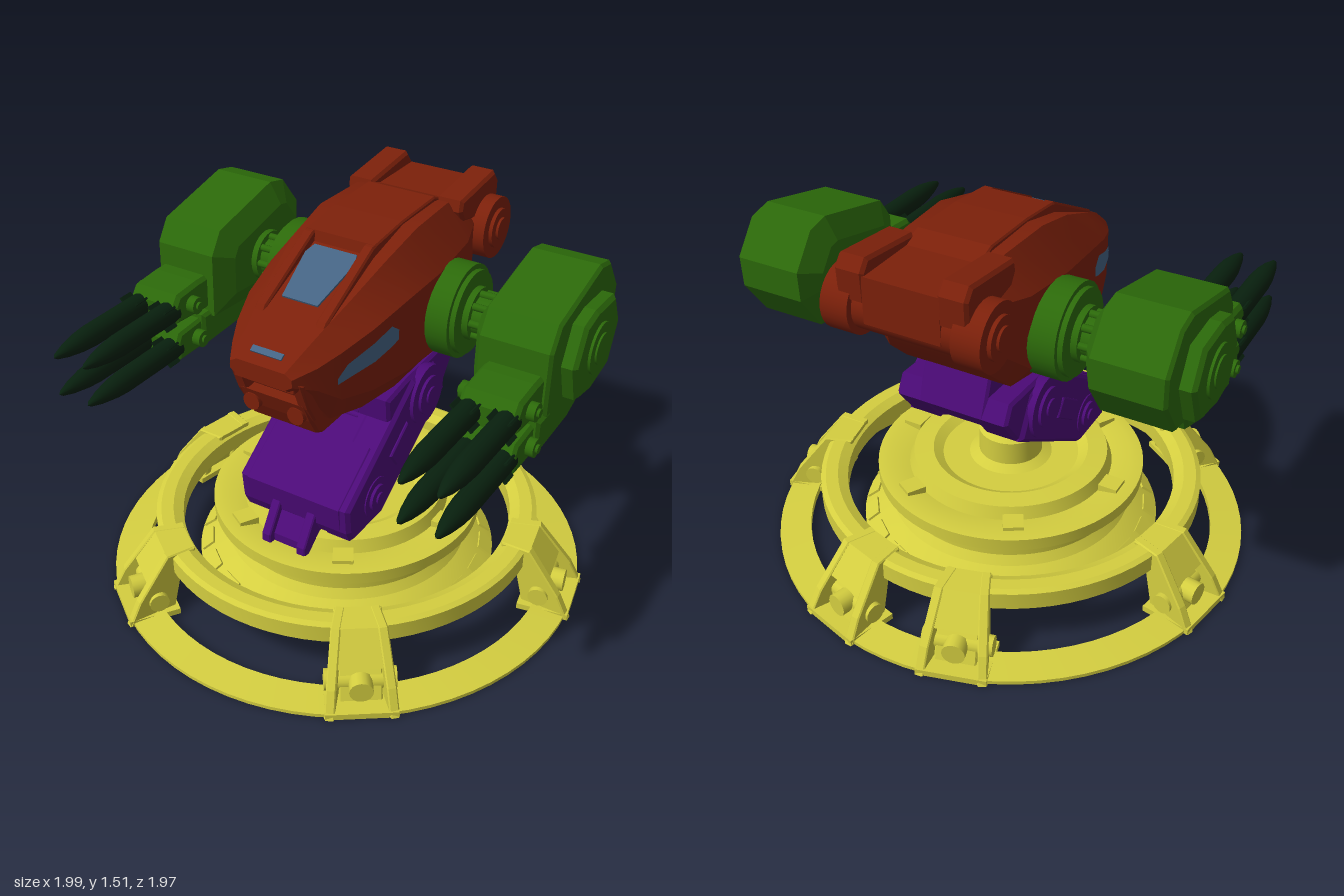
import * as THREE from 'three';
import { toCreasedNormals } from 'three/addons/utils/BufferGeometryUtils.js';

const material = (name, color, side = THREE.FrontSide) => {
  const m = new THREE.MeshStandardMaterial({ color, side });
  m.name = name;
  return m;
};

// Box given by its min and max on each axis
const box = (x0, x1, y0, y1, z0, z1) =>
  new THREE.BoxGeometry(x1 - x0, y1 - y0, z1 - z0).translate((x0 + x1) / 2, (y0 + y1) / 2, (z0 + z1) / 2);

// Cylinder lying along x
const cylX = (r, x0, x1, y, z, seg = 28) =>
  new THREE.CylinderGeometry(r, r, x1 - x0, seg).rotateZ(Math.PI / 2).translate((x0 + x1) / 2, y, z);

// Outline in [z, y], extruded from x0 to x1 with chamfered edges
function slab(pts, x0, x1, t = 0.01, s = t) {
  const shape = new THREE.Shape(pts.map(([z, y]) => new THREE.Vector2(z, y)));
  return new THREE.ExtrudeGeometry(shape, {
    depth: x1 - x0 - 2 * t, bevelThickness: t, bevelSize: s, bevelOffset: -s, bevelSegments: 1,
  }).rotateY(-Math.PI / 2).translate(x1 - t, 0, 0);
}

// Mirror a geometry in x, keeping its faces outward
function mirrored(geo) {
  const g = geo.index ? geo.toNonIndexed() : geo.clone();
  g.scale(-1, 1, 1);
  for (const a of Object.values(g.attributes)) {
    const n = a.itemSize;
    for (let i = 0; i < a.count; i += 3) {
      for (let k = 0; k < n; k++) {
        const p = (i + 1) * n + k, q = (i + 2) * n + k;
        [a.array[p], a.array[q]] = [a.array[q], a.array[p]];
      }
    }
  }
  return g;
}

const lathe = (pts) => toCreasedNormals(
  new THREE.LatheGeometry(pts.map(([r, y]) => new THREE.Vector2(r, y)), 72), 0.4);

// Hull stations: z, top, topHalf, shoulder, half, low, bottom, bottomHalf
const STATIONS = [
  [-0.62, 1.38, 0.15, 1.34, 0.22, 1.27, 1.20, 0.15],
  [-0.53, 1.45, 0.18, 1.36, 0.26, 1.16, 1.07, 0.20],
  [-0.40, 1.475, 0.20, 1.34, 0.30, 1.05, 0.95, 0.22],
  [-0.15, 1.475, 0.21, 1.32, 0.315, 1.00, 0.925, 0.25],
  [0.06, 1.425, 0.20, 1.30, 0.30, 1.00, 0.92, 0.25],
  [0.25, 1.345, 0.17, 1.26, 0.268, 1.01, 0.92, 0.22],
  [0.39, 1.286, 0.145, 1.22, 0.222, 1.03, 0.93, 0.17],
  [0.48, 1.24, 0.125, 1.19, 0.18, 1.10, 1.06, 0.14],
  [0.565, 1.187, 0.10, 1.17, 0.13, 1.14, 1.12, 0.10],
];

function hullGeometry() {
  const pos = [], idx = [], n = 8, last = STATIONS.length - 1;
  for (const [z, top, wt, ys, w, yl, bot, wb] of STATIONS) {
    const half = [[wb, bot], [w, yl], [w, ys], [wt, top]];
    for (const [x, y] of half) pos.push(x, y, z);
    for (const [x, y] of half.reverse()) pos.push(-x, y, z);
  }
  for (let i = 0; i < last; i++) for (let j = 0; j < n; j++) {
    const a = i * n + j, b = i * n + (j + 1) % n;
    idx.push(a, b, b + n, a, b + n, a + n);
  }
  for (let j = 1; j < n - 1; j++) idx.push(0, j + 1, j, last * n, last * n + j, last * n + j + 1);
  const g = new THREE.BufferGeometry();
  g.setAttribute('position', new THREE.Float32BufferAttribute(pos, 3));
  g.setIndex(idx);
  return toCreasedNormals(g, 0.35);
}

const hullHalf = (z) => {
  const i = STATIONS.findIndex((s) => s[0] >= z), a = STATIONS[i - 1], b = STATIONS[i];
  return a[4] + (b[4] - a[4]) * (z - a[0]) / (b[0] - a[0]);
};

// Side window following the cheek; rows are z, lower y, upper y
function sideWindow() {
  const rows = [[0.12, 1.165, 1.205], [0.16, 1.15, 1.235], [0.25, 1.13, 1.208], [0.37, 1.11, 1.168], [0.41, 1.1, 1.125]];
  const pos = [], idx = [];
  rows.forEach(([z, a, b], i) => {
    const x = hullHalf(z) + 0.006;
    pos.push(x, a, z, x, b, z);
    if (i) idx.push(2 * i - 2, 2 * i - 1, 2 * i + 1, 2 * i - 2, 2 * i + 1, 2 * i);
  });
  const g = new THREE.BufferGeometry();
  g.setAttribute('position', new THREE.Float32BufferAttribute(pos, 3));
  g.setIndex(idx);
  g.computeVertexNormals();
  return g;
}

export function createModel() {
  const yellow = material('base yellow', 0xd4ce40, THREE.DoubleSide);
  const purple = material('leg purple', 0x4c0a78);
  const red = material('hull red', 0x7c200a);
  const green = material('arm green', 0x2c6a0a);
  const dark = material('missile dark green', 0x08200e);
  const glass = material('window blue', 0x456484, THREE.DoubleSide);
  const model = new THREE.Group();
  const group = (name) => {
    const g = new THREE.Group();
    g.name = name;
    model.add(g);
    return g;
  };
  const add = (parent, name, geo, mat) => {
    const m = new THREE.Mesh(geo, mat);
    m.name = name;
    parent.add(m);
  };
  const pair = (parent, name, geo, mat) => {
    add(parent, name + 'Left', geo, mat);
    add(parent, name + 'Right', mirrored(geo), mat);
  };

  // Round base: ground ring, raised ring, flared bowl with stepped deck and post
  const base = group('base');
  add(base, 'groundRing', lathe([[0.85, 0], [0.98, 0], [0.98, 0.015], [0.85, 0.03], [0.85, 0]]), yellow);
  add(base, 'raisedRing', lathe([[0.68, 0.18], [0.77, 0.175], [0.79, 0.19], [0.79, 0.26], [0.77, 0.27], [0.72, 0.27], [0.68, 0.25], [0.68, 0.18]]), yellow);
  add(base, 'bowl', lathe([[0.54, 0.03], [0.62, 0.03], [0.62, 0.05], [0.55, 0.105], [0.5, 0.135], [0.475, 0.17], [0.475, 0.22], [0.55, 0.26],
    [0.55, 0.31], [0.5, 0.315], [0.42, 0.3], [0.4, 0.35], [0.32, 0.355], [0.28, 0.33], [0.17, 0.33],
    [0.13, 0.35], [0.13, 0.45], [0.1, 0.47], [0.001, 0.47]]), yellow);
  for (let i = 0; i < 24; i++) {
    add(base, 'bowlPanel', box(-0.05, 0.05, -0.01, 0.006, -0.03, 0.03).rotateX(0.67).translate(0, 0.08, 0.585).rotateY((i + 0.5) * Math.PI / 12), yellow);
  }
  for (let i = 0; i < 6; i++) {
    add(base, 'deckBolt', box(-0.04, 0.04, 0.29, 0.33, 0.42, 0.5).rotateY(Math.PI / 6 + i * Math.PI / 3), yellow);
  }
  // Six sloping struts, wider at the foot, with a recessed bolt
  const cheek = [[0.995, 0], [0.945, 0.1], [0.81, 0.275], [0.69, 0.275], [0.69, 0.2], [0.76, 0.16], [0.8, 0]];
  const core = [[0.93, 0], [0.89, 0.1], [0.79, 0.24], [0.7, 0.25], [0.72, 0.19], [0.78, 0.15], [0.83, 0]];
  for (const deg of [35, 101, 164, -35, -101, -164]) {
    const strut = new THREE.Group();
    strut.name = 'strut';
    strut.rotation.y = deg * Math.PI / 180;
    pair(strut, 'strutCheek', slab(cheek, -0.078, -0.04, 0.005).rotateY(0.18), yellow);
    add(strut, 'strutCore', slab(core, -0.08, 0.08, 0.005), yellow);
    add(strut, 'strutTop', slab([[0.893, 0.155], [0.806, 0.273], [0.69, 0.273], [0.69, 0.2], [0.8, 0.15]], -0.09, 0.09, 0.004), yellow);
    add(strut, 'strutFoot', box(-0.135, 0.135, 0, 0.025, 0.78, 0.985), yellow);
    add(strut, 'strutBolt', new THREE.CylinderGeometry(0.045, 0.045, 0.06, 16).rotateX(Math.PI / 2).translate(0, 0.085, 0.91), yellow);
    add(strut, 'sideBolt', cylX(0.04, -0.135, 0.135, 0.08, 0.86, 16), yellow);
    base.add(strut);
  }

  // Folded leg
  const leg = group('leg');
  pair(leg, 'legArm', slab([[0.395, 0.53], [0.07, 0.745], [-0.1, 0.86], [-0.28, 0.85], [-0.37, 0.69], [0.14, 0.365], [0.36, 0.37], [0.385, 0.42]], 0.12, 0.25, 0.015), purple);
  add(leg, 'legCore', slab([[0.37, 0.5], [0.1, 0.68], [-0.1, 0.8], [-0.33, 0.8], [-0.34, 0.7], [0.14, 0.4], [0.34, 0.39]], -0.13, 0.13), purple);
  add(leg, 'shinPlate', slab([[0.4, 0.53], [0.17, 0.685], [0.12, 0.62], [0.2, 0.38], [0.36, 0.375], [0.385, 0.42]], -0.22, 0.22, 0.012), purple);
  pair(leg, 'upperBracket', slab([[0.08, 0.85], [-0.07, 0.87], [-0.42, 0.885], [-0.46, 0.81], [-0.37, 0.69], [-0.05, 0.68], [0.07, 0.75]], 0.09, 0.235, 0.012), purple);
  add(leg, 'neck', slab([[-0.02, 0.72], [-0.02, 0.88], [-0.12, 0.96], [-0.4, 0.97], [-0.46, 0.81], [-0.38, 0.72]], -0.14, 0.14), purple);
  for (let i = 0; i < 6; i++) add(leg, 'kneeRib', box(-0.08, 0.08, 0.7 + i * 0.027, 0.715 + i * 0.027, -0.1, 0.05 - i * 0.01), purple);
  const joints = [[0.75, -0.19, 0.125, 0.265], [0.48, 0.19, 0.085, 0.255]];
  for (const [y, z, r, x] of joints) {
    pair(leg, 'jointDisc', cylX(r, 0.2, x, y, z, 24), purple);
    pair(leg, 'jointRim', cylX(r * 0.65, 0.2, x + 0.012, y, z, 24), purple);
    pair(leg, 'jointBolt', cylX(r * 0.3, 0.2, x + 0.02, y, z, 12), purple);
  }
  pair(leg, 'armPanel', slab([[0.09, 0.61], [-0.04, 0.7], [-0.09, 0.63], [0.04, 0.54]], 0.24, 0.26, 0.005), purple);
  pair(leg, 'footPlate', slab([[0.47, 0.28], [0.47, 0.345], [0.385, 0.47], [0.3, 0.47], [0.3, 0.36], [0.36, 0.36]], 0.06, 0.1, 0.005), purple);
  add(leg, 'footBar', slab([[0.44, 0.29], [0.44, 0.34], [0.37, 0.44], [0.3, 0.44], [0.36, 0.34]], -0.07, 0.07, 0.004), purple);

  // Hull with mouth, chin and windows
  const hull = group('hull');
  add(hull, 'hullShell', hullGeometry(), red);
  add(hull, 'spinePlate', slab([[0.055, 1.42], [0.045, 1.468], [-0.15, 1.487], [-0.4, 1.492], [-0.48, 1.46]], -0.15, 0.15, 0.006), red);
  pair(hull, 'canopyFrame', slab([[-0.06, 1.42], [-0.06, 1.478], [0.06, 1.465], [0.37, 1.305], [0.41, 1.26], [0.25, 1.32]], 0.106, 0.15, 0.006, 0.008), red);
  pair(hull, 'mouthSide', slab([[0.545, 1.14], [0.5, 1.02], [0.46, 0.95], [0.34, 0.95], [0.34, 1.14]], 0.105, 0.155, 0.008), red);
  add(hull, 'mouthTop', box(-0.125, 0.125, 1.105, 1.13, 0.4, 0.55), red);
  add(hull, 'jaw', slab([[0.505, 1.03], [0.47, 0.95], [0.43, 0.88], [0.39, 0.86], [0.26, 0.86], [0.24, 1.0], [0.4, 1.04]], -0.145, 0.145, 0.01), red);
  pair(hull, 'chinLamp', new THREE.CylinderGeometry(0.035, 0.035, 0.08, 16).rotateX(Math.PI / 2).translate(0.095, 0.975, 0.46), red);
  const pane = new THREE.Shape([[-0.075, -0.135], [0.075, -0.135], [0.105, 0.08], [0.09, 0.125], [-0.09, 0.125], [-0.105, 0.08]].map(([x, y]) => new THREE.Vector2(x, y)));
  const canopy = new THREE.ExtrudeGeometry(pane, { depth: 0.008, bevelEnabled: false });
  canopy.rotateX(-Math.PI / 2 + Math.atan(0.421)).translate(0, 1.373, 0.188);
  add(hull, 'canopyWindow', canopy, glass);
  add(hull, 'noseSlit', new THREE.BoxGeometry(0.13, 0.009, 0.025).rotateX(0.56).translate(0, 1.218, 0.52), glass);
  pair(hull, 'sideWindow', sideWindow(), glass);

  // Rear engine drum and its two rails
  add(hull, 'engineDrum', cylX(0.1, -0.27, 0.27, 1.31, -0.64), red);
  pair(hull, 'engineCap', cylX(0.125, 0.2, 0.31, 1.31, -0.64), red);
  pair(hull, 'engineRim', cylX(0.08, 0.3, 0.325, 1.31, -0.64), red);
  pair(hull, 'engineHub', cylX(0.045, 0.3, 0.335, 1.31, -0.64), red);
  pair(hull, 'engineRail', slab([[-0.42, 1.44], [-0.43, 1.485], [-0.71, 1.515], [-0.745, 1.47], [-0.74, 1.36], [-0.6, 1.36], [-0.45, 1.39]], 0.14, 0.255, 0.012), red);
  add(hull, 'engineSaddle', box(-0.15, 0.15, 1.28, 1.46, -0.74, -0.45), red);

  // Arms: shoulder disc, axle, pod and missile rack
  const arms = group('arms');
  const sy = 1.145, sz = -0.235;
  for (const [name, r, x0, x1] of [['shoulderDisc', 0.185, 0.27, 0.4], ['shoulderRim', 0.165, 0.39, 0.42], ['axle', 0.08, 0.4, 0.57],
    ['axleCollar', 0.105, 0.415, 0.445], ['axleCollar', 0.105, 0.51, 0.56], ['hubRim', 0.1, 0.9, 0.928], ['hub', 0.06, 0.91, 0.935]]) {
    pair(arms, name, cylX(r, x0, x1, sy, sz), green);
  }
  for (let i = 0; i < 8; i++) {
    const a = i * Math.PI / 4;
    pair(arms, 'axleRib', cylX(0.015, 0.43, 0.53, sy + 0.085 * Math.cos(a), sz + 0.085 * Math.sin(a), 8), green);
  }
  const podOutline = [[0.06, 1.24], [0, 1.33], [-0.35, 1.41], [-0.44, 1.39], [-0.54, 1.26], [-0.535, 1.14], [-0.43, 0.99], [-0.23, 0.96], [0.07, 0.98]];
  pair(arms, 'pod', slab(podOutline, 0.585, 0.86, 0.012), green);
  pair(arms, 'podInner', slab(podOutline, 0.535, 0.65, 0.05, 0.085), green);
  pair(arms, 'podCap', slab([[-0.03, 1.15], [-0.1, 1.29], [-0.2, 1.31], [-0.37, 1.3], [-0.44, 1.17], [-0.37, 1.01], [-0.2, 0.98], [-0.08, 1.0]], 0.84, 0.918, 0.015), green);
  pair(arms, 'underRail', slab([[0.12, 1.0], [0.12, 0.86], [-0.15, 0.87], [-0.31, 0.925], [-0.34, 1.0]], 0.6, 0.86, 0.012), green);
  pair(arms, 'rackUpper', slab([[0.12, 1.15], [0.24, 1.14], [0.27, 1.1], [0.27, 1.02], [-0.02, 1.0], [-0.02, 1.15]], 0.615, 0.84, 0.015), green);
  pair(arms, 'rackLower', slab([[0.1, 0.985], [0.25, 0.975], [0.27, 0.94], [0.27, 0.855], [0.1, 0.855]], 0.615, 0.84, 0.012), green);
  for (const [y, z] of [[1.075, 0.17], [0.915, 0.15]]) {
    pair(arms, 'rackPin', cylX(0.035, 0.58, 0.87, y, z, 16), green);
    pair(arms, 'rackPinTip', cylX(0.017, 0.57, 0.88, y, z, 12), green);
  }
  // Four finned missiles on each side
  const missile = toCreasedNormals(new THREE.LatheGeometry(
    [[0, 0.24], [0.046, 0.24], [0.046, 0.3], [0.045, 0.56], [0.04, 0.62], [0.027, 0.69], [0.012, 0.74], [0, 0.755]]
      .map(([r, h]) => new THREE.Vector2(r, h)), 16), 0.6).rotateX(Math.PI / 2);
  for (const x of [0.657, 0.797]) for (const y of [1.065, 0.905]) {
    pair(arms, 'missile', missile.clone().translate(x, y, 0), dark);
    for (const turn of [1, -1]) {
      pair(arms, 'missileFin', box(-0.062, 0.062, -0.004, 0.004, 0.27, 0.33).rotateZ(turn * Math.PI / 4).translate(x, y, 0), dark);
    }
  }
  return model;
}
